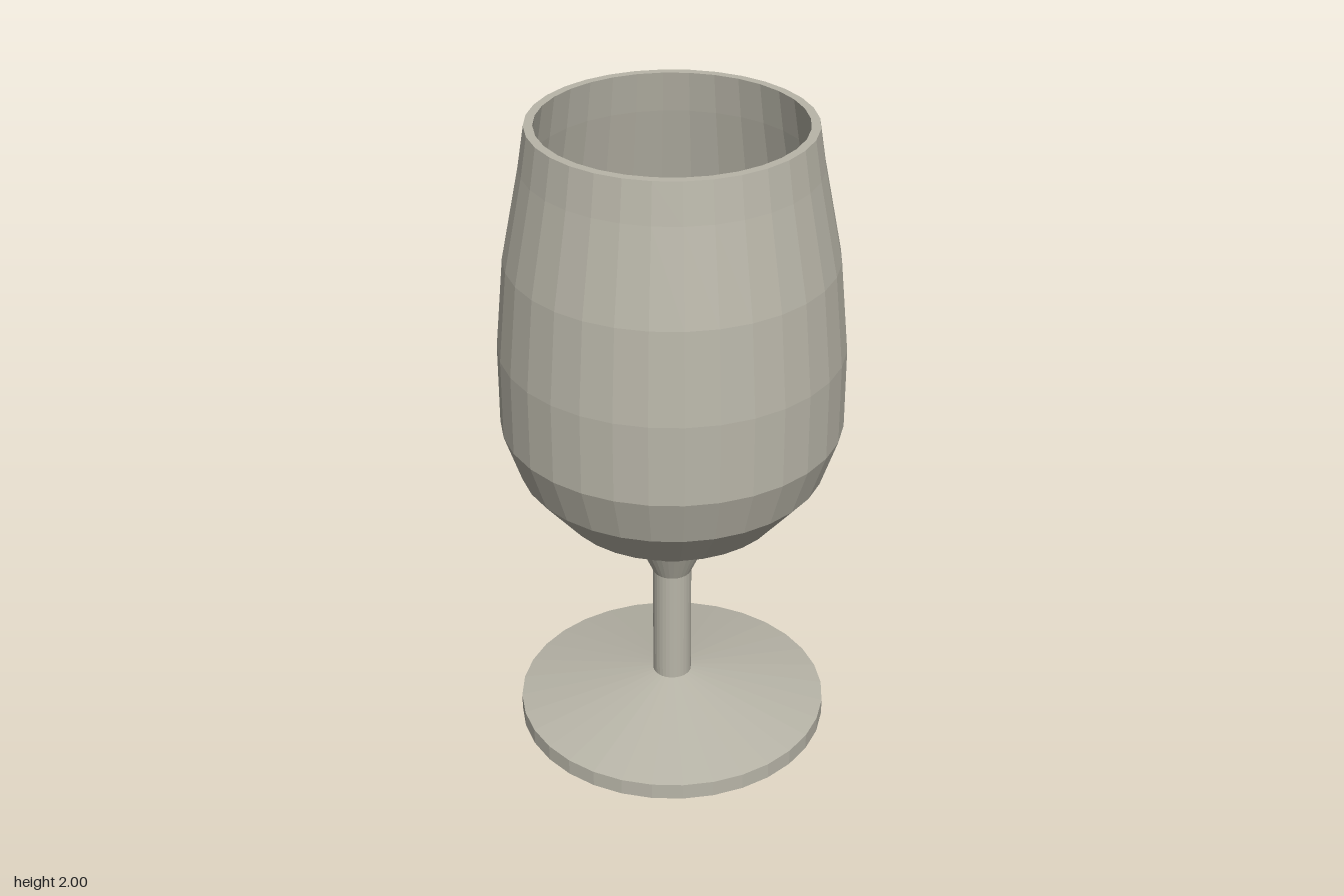
import * as THREE from 'three';

const SIDES = 32;

export function createModel() {
  const group = new THREE.Group();
  group.name = 'goblet';

  const stone = new THREE.MeshStandardMaterial({ color: 0xb8b5a8 });
  stone.name = 'warm grey';
  stone.flatShading = true;

  // Each part is a turned profile of [radius, height] points
  const turn = (name, profile) => {
    const points = profile.map(([r, y]) => new THREE.Vector2(r, y));
    const mesh = new THREE.Mesh(new THREE.LatheGeometry(points, SIDES), stone);
    mesh.name = name;
    group.add(mesh);
  };

  // Foot: hollow underside, flat lower lip, rim and sloping top
  turn('foot', [
    [0, 0.1], [0.04, 0.1], [0.455, 0.03], [0.455, 0],
    [0.483, 0], [0.483, 0.052], [0.06, 0.14],
  ]);

  // Stem flaring out into the bowl
  turn('stem', [[0.06, 0.14], [0.06, 0.52], [0.1, 0.61]]);

  // Bowl: outer wall up to the lip, then the inner wall down to the well
  turn('bowl', [
    [0.1, 0.61], [0.2, 0.69], [0.338, 0.772], [0.46, 0.918], [0.511, 1.07],
    [0.511, 1.32], [0.485, 1.6], [0.43, 1.88], [0.411, 2],
    [0.385, 2], [0.405, 1.875], [0.459, 1.595], [0.485, 1.32],
    [0.485, 1.075], [0.438, 0.935], [0.32, 0.793], [0.19, 0.715],
    [0.082, 0.63], [0.04, 0.53], [0, 0.53],
  ]);

  return group;
}
